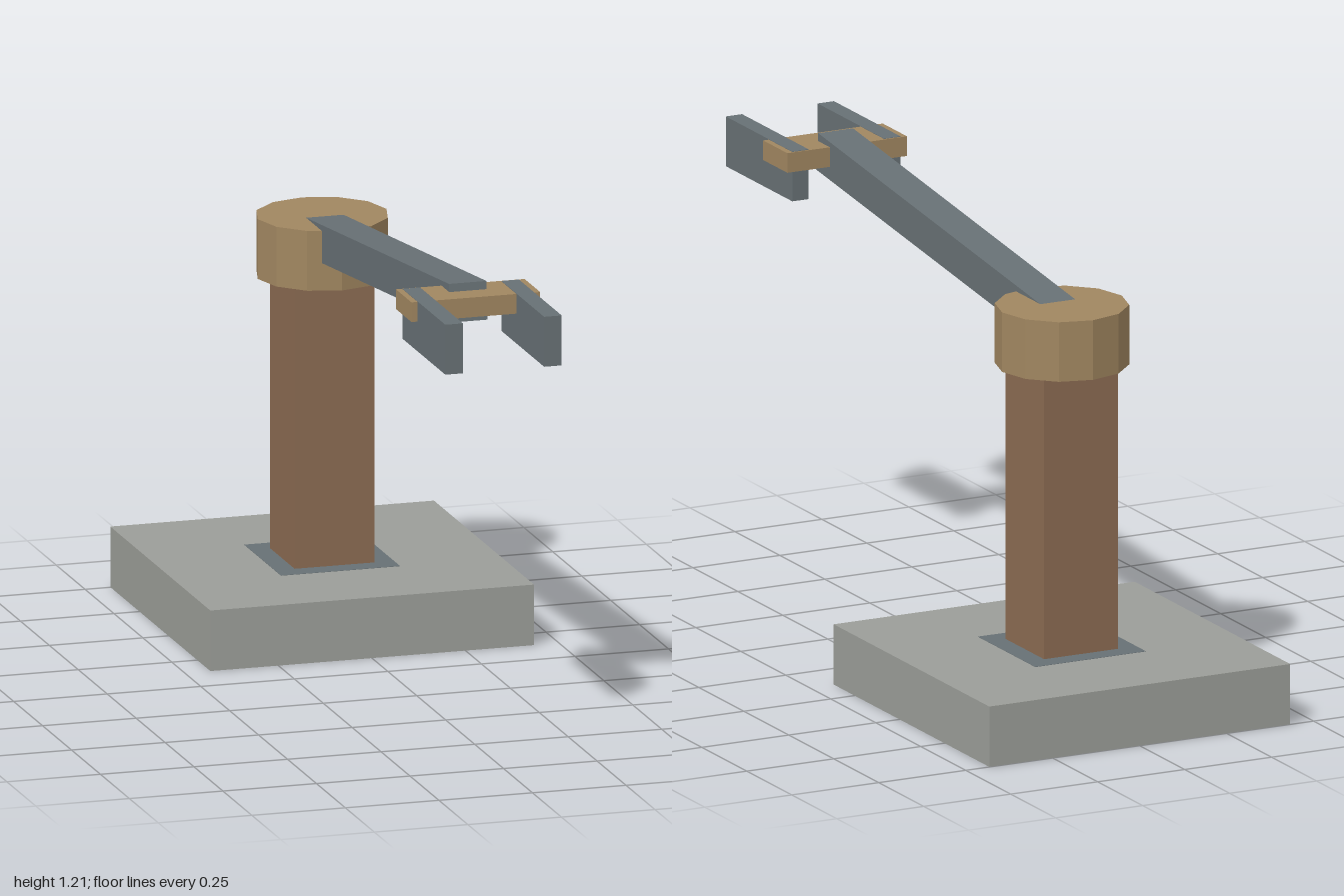
import * as THREE from 'three';

const paint = (color) => new THREE.MeshStandardMaterial({ color, flatShading: true });

export function createModel() {
  const group = new THREE.Group();
  const stone = paint(0x9b9d98), rust = paint(0x8b6b52), brass = paint(0xa08660), steel = paint(0x677074);
  const axisZ = -0.568; // vertical axis of base, post and hub

  const add = (name, geometry, material, x, y, z) => {
    const mesh = new THREE.Mesh(geometry, material);
    mesh.name = name;
    mesh.position.set(x, y, z);
    group.add(mesh);
    return mesh;
  };
  const box = (name, material, w, h, d, x, y, z) =>
    add(name, new THREE.BoxGeometry(w, h, d), material, x, y, z);

  // Pedestal
  box('base', stone, 0.865, 0.16, 0.865, 0, 0.08, axisZ);
  box('mountingPlate', steel, 0.318, 0.04, 0.318, 0, 0.1408, axisZ);
  box('post', rust, 0.213, 0.911, 0.213, 0, 0.455, axisZ);

  // Twelve-sided turning hub
  add('hub', new THREE.CylinderGeometry(0.172, 0.172, 0.158, 12), brass, 0, 0.984, axisZ);

  // Arm rising gently from the hub to the gripper
  const tilt = Math.atan(0.115), length = 1.29, thickness = 0.1;
  const tip = new THREE.Vector3(0, 1.205, 0.69); // upper front edge
  const offset = new THREE.Vector3(0, -thickness / 2, -length / 2)
    .applyAxisAngle(new THREE.Vector3(1, 0, 0), -tilt);
  const centre = tip.add(offset);
  const arm = box('arm', steel, 0.1, thickness, length, 0, centre.y, centre.z);
  arm.rotation.x = -tilt;

  // Gripper
  box('gripperBar', brass, 0.344, 0.052, 0.135, 0, 1.158, 0.693);
  for (const [side, name] of [[1, 'leftFinger'], [-1, 'rightFinger']]) {
    box(name, steel, 0.047, 0.132, 0.37, side * 0.132, 1.119, 0.815);
  }
  return group;
}
